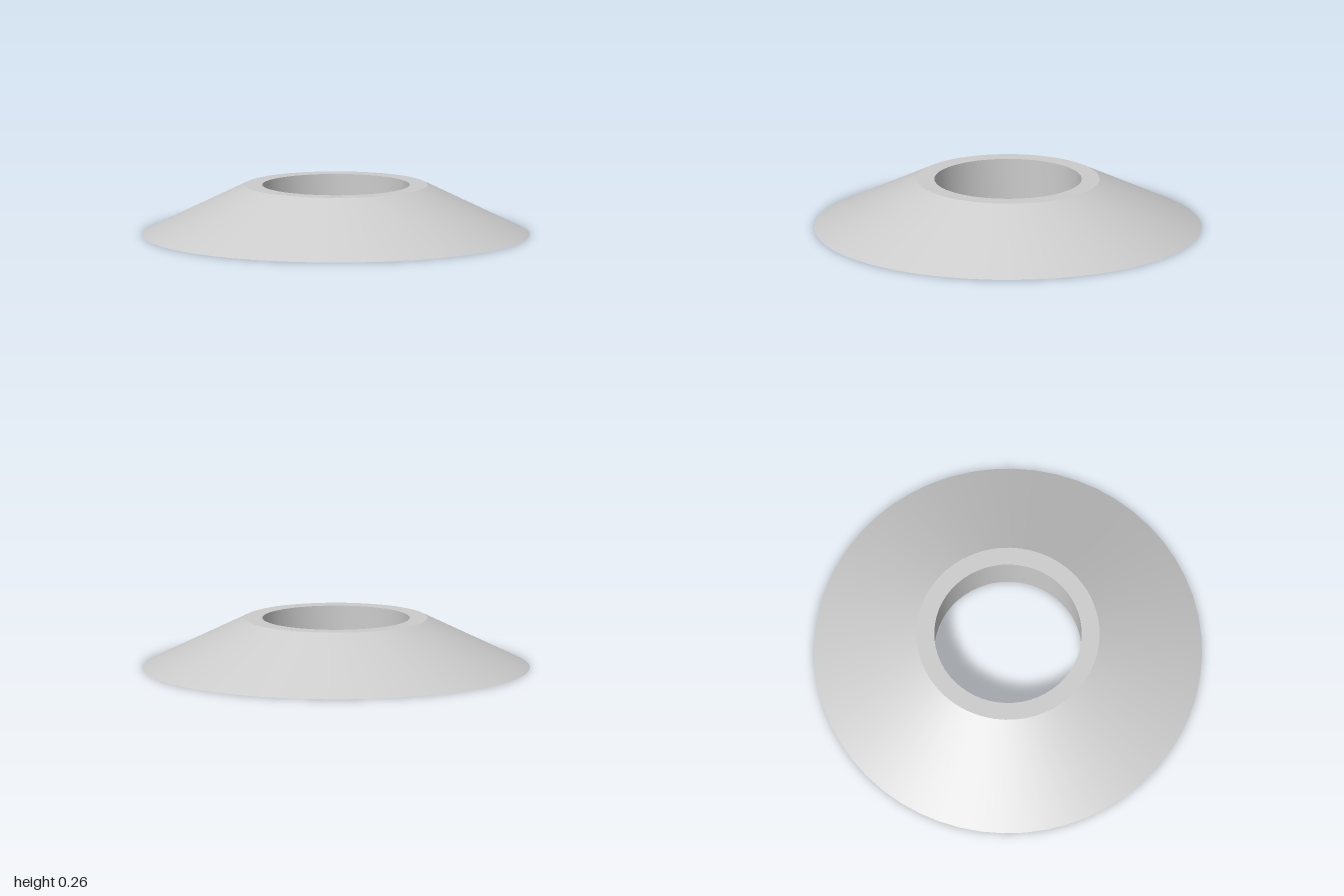
import * as THREE from 'three';
import { toCreasedNormals } from 'three/addons/utils/BufferGeometryUtils.js';

export function createModel() {
  const group = new THREE.Group();
  group.name = 'conicalRing';

  // Closed cross-section: flat base, sloping flank, narrow top rim, straight bore
  const profile = [
    [0.38, 0], [1, 0], [0.472, 0.26], [0.38, 0.26], [0.38, 0],
  ].map(([r, y]) => new THREE.Vector2(r, y));

  // Smooth around the axis, sharp at the rims
  const geometry = toCreasedNormals(new THREE.LatheGeometry(profile, 56), 0.3);
  const ring = new THREE.Mesh(geometry, new THREE.MeshStandardMaterial({ color: 0xcccccc }));
  ring.name = 'taperedCollar';
  group.add(ring);

  return group;
}
